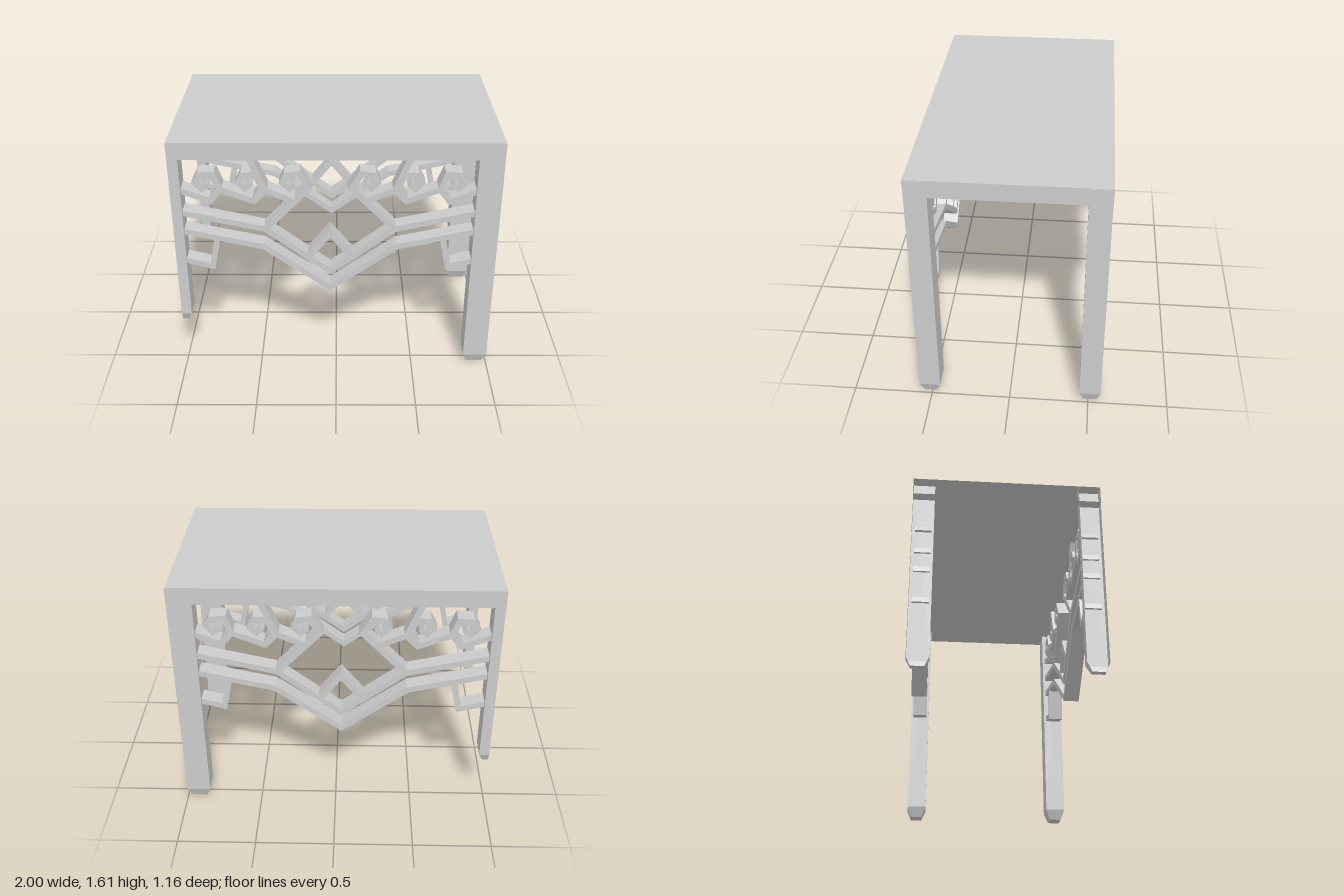
import * as THREE from 'three';

const grey = new THREE.MeshStandardMaterial({ color: 0xcccccc, flatShading: true, side: THREE.DoubleSide });

function add(parent, name, geometry) {
  const mesh = new THREE.Mesh(geometry, grey);
  mesh.name = name;
  parent.add(mesh);
  return mesh;
}

// Loft of rectangular sections [y, x0, x1, z0, z1], bottom to top; openEnd leaves out the -x wall
function loft(sections, openEnd) {
  const rings = sections.map(([y, x0, x1, z0, z1]) => [[x0, y, z1], [x1, y, z1], [x1, y, z0], [x0, y, z0]]);
  const pos = [];
  const quad = (a, b, c, d) => pos.push(...a, ...b, ...c, ...a, ...c, ...d);
  for (let s = 0; s < rings.length - 1; s++) {
    const lo = rings[s], hi = rings[s + 1];
    for (let i = 0; i < (openEnd ? 3 : 4); i++) {
      const j = (i + 1) % 4;
      quad(lo[i], lo[j], hi[j], hi[i]);
    }
  }
  const b = rings[0], t = rings[rings.length - 1];
  quad(b[3], b[2], b[1], b[0]);
  quad(t[0], t[1], t[2], t[3]);
  const g = new THREE.BufferGeometry();
  g.setAttribute('position', new THREE.Float32BufferAttribute(pos, 3));
  g.computeVertexNormals();
  return g;
}

// Flat bar of constant width along a polyline, with mitred corners
function bar(points, width, depth) {
  const p = points.map(([x, y]) => new THREE.Vector2(x, y));
  const normal = (a, b) => new THREE.Vector2(a.y - b.y, b.x - a.x).normalize();
  const left = [], right = [];
  p.forEach((q, i) => {
    const n0 = normal(p[Math.max(i - 1, 0)], p[Math.max(i, 1)]);
    const last = p.length - 1;
    const n1 = normal(p[Math.min(i, last - 1)], p[Math.min(i + 1, last)]);
    const m = n0.clone().add(n1).normalize();
    m.multiplyScalar(width / 2 / Math.max(m.dot(n0), 0.4));
    left.push(q.clone().add(m));
    right.unshift(q.clone().sub(m));
  });
  return new THREE.ExtrudeGeometry(new THREE.Shape([...left, ...right]), { depth, bevelEnabled: false });
}

// Lattice bars of the right half, measured from the lattice centre line
const halfBars = {
  bracket: [[0.70, 0.945], [0.74, 0.75], [0.905, 0.795]],
  innerScroll: [[0.398, 1.02], [0.13, 1.30], [0.19, 1.40], [0.262, 1.39], [0.285, 1.34], [0.245, 1.30], [0.212, 1.33]],
  strut: [[0.485, 1.51], [0.392, 1.29], [0.22, 1.215]],
  middleScroll: [[0.392, 1.29], [0.462, 1.215], [0.665, 1.295]],
  middleCurl: [[0.462, 1.215], [0.408, 1.30], [0.447, 1.395], [0.522, 1.39], [0.55, 1.34], [0.512, 1.30], [0.478, 1.33]],
  outerCurl: [[0.905, 1.287], [0.725, 1.215], [0.665, 1.295], [0.703, 1.395], [0.782, 1.39], [0.81, 1.34], [0.772, 1.30], [0.738, 1.33]],
};

// Bars that run across the centre line
const fullBars = {
  upperRail: [[0.905, 1.133], [0.398, 1.02], [0, 0.715]],
  lowerRail: [[0.905, 1.003], [0.415, 0.895], [0, 0.59]],
  diamond: [[0.14, 0.815], [0, 0.99]],
};

function lattice(name) {
  const g = new THREE.Group();
  g.name = name;
  const mirror = pts => pts.map(([x, y]) => [-x, y]);
  const width = 0.038, depth = 0.1;
  for (const [part, pts] of Object.entries(halfBars)) {
    add(g, part + 'Left', bar(pts, width, depth));
    add(g, part + 'Right', bar(mirror(pts), width, depth));
  }
  for (const [part, pts] of Object.entries(fullBars)) {
    add(g, part, bar([...pts, ...mirror(pts).reverse().slice(1)], width, depth));
  }
  return g;
}

export function createModel() {
  const model = new THREE.Group();
  model.name = 'table';

  // Table top, open at the cut end
  add(model, 'tableTop', loft([[1.5, -1, 0.995, -0.58, 0.58], [1.61, -1, 0.995, -0.58, 0.58]], true));

  for (const side of [1, -1]) {
    const where = side > 0 ? 'front' : 'back';
    const z = (a, b) => side > 0 ? [a, b] : [-b, -a];
    const shaft = z(0.445, 0.578), foot = z(0.473, 0.552);

    // Full leg with tapered foot
    add(model, where + 'LongLeg', loft([
      [0, 0.872, 0.972, ...foot], [0.07, 0.845, 0.998, ...shaft], [1.605, 0.845, 0.998, ...shaft],
    ], false));

    // Shorter leg, cut open along its outer side
    add(model, where + 'CutLeg', loft([
      [0.34, -1, -0.962, ...foot], [0.4, -1, -0.936, ...shaft], [1.605, -1, -0.936, ...shaft],
    ], true));

    // Lattice between the legs
    const panel = lattice(where + 'Lattice');
    panel.position.set(-0.037, 0, side > 0 ? 0.46 : -0.56);
    model.add(panel);
  }
  return model;
}
